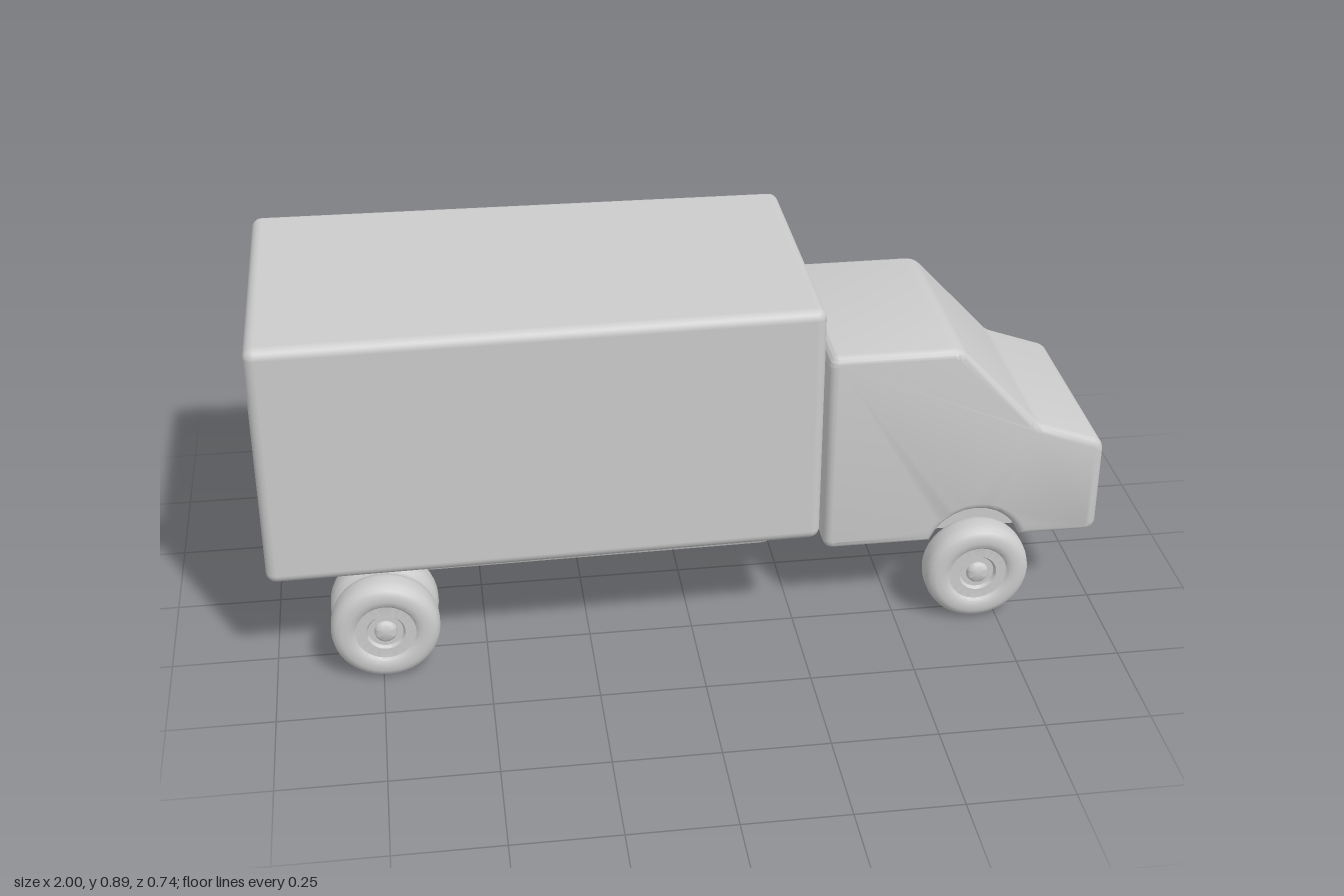
import * as THREE from 'three';
import { RoundedBoxGeometry } from 'three/addons/geometries/RoundedBoxGeometry.js';
import { toCreasedNormals } from 'three/addons/utils/BufferGeometryUtils.js';

const grey = new THREE.MeshStandardMaterial({ color: 0xcccccc });

function part(name, geometry, parent) {
  const mesh = new THREE.Mesh(geometry, grey);
  mesh.name = name;
  parent.add(mesh);
  return mesh;
}

// Extrudes a side profile across z to a full half-width, with softened edges
function extrudeSide(shape, halfWidth, bevel, segments) {
  const depth = 2 * (halfWidth - bevel);
  const geometry = new THREE.ExtrudeGeometry(shape, {
    depth, bevelSize: bevel, bevelThickness: bevel, bevelSegments: segments, curveSegments: 10,
  });
  geometry.translate(0, 0, -depth / 2);
  return toCreasedNormals(geometry, 0.6);
}

// Polyline whose corners [x, y, radius] are rounded by curves
function roundedPath(shape, points) {
  points.forEach(([x, y, r], i) => {
    const prev = points[i - 1], next = points[i + 1];
    if (!prev) { shape.moveTo(x, y); return; }
    if (!next || !r) { shape.lineTo(x, y); return; }
    const p = new THREE.Vector2(x, y);
    const a = new THREE.Vector2(prev[0], prev[1]).sub(p).setLength(r).add(p);
    const b = new THREE.Vector2(next[0], next[1]).sub(p).setLength(r).add(p);
    shape.lineTo(a.x, a.y);
    shape.quadraticCurveTo(x, y, b.x, b.y);
  });
  return shape;
}

// Cargo box, slightly narrower toward the cab
function cargoGeometry() {
  const geometry = new RoundedBoxGeometry(1.295, 0.605, 0.725, 4, 0.025);
  const pos = geometry.attributes.position;
  for (let i = 0; i < pos.count; i++) {
    const t = (pos.getX(i) + 0.6475) / 1.295;
    pos.setZ(i, pos.getZ(i) * (1 - 0.065 * t));
  }
  geometry.translate(-0.3525, 0.586, 0);
  return geometry;
}

// Cab profile with wheel arch, drawn inside the bevel
function cabGeometry() {
  const shape = new THREE.Shape();
  const cx = 0.697, cy = 0.165, r = 0.136, y = 0.22;
  const a = Math.asin((y - cy) / r), dx = r * Math.cos(a);
  roundedPath(shape, [
    [cx + dx, y], [0.98, y, 0.008], [0.98, 0.436, 0.012], [0.823, 0.492, 0.02],
    [0.624, 0.705, 0.015], [0.34, 0.705, 0.008], [0.34, y, 0.008], [cx - dx, y],
  ]);
  shape.absarc(cx, cy, r, Math.PI - a, a, true);
  return extrudeSide(shape, 0.26, 0.02, 4);
}

// Underbody profile, curling up at both ends
function underbodyGeometry() {
  const shape = roundedPath(new THREE.Shape(), [
    [-0.6, 0.187], [0.215, 0.195, 0.04], [0.24, 0.29], [-0.938, 0.29],
    [-0.935, 0.187, 0.04], [-0.6, 0.187],
  ]);
  return extrudeSide(shape, 0.178, 0.022, 2);
}

// Wheel: one revolved section with tyre, recessed rim and hub cap
function wheelGeometry() {
  const half = [
    [0, 0.038], [0.02, 0.038], [0.025, 0.034], [0.027, 0.026], [0.041, 0.026],
    [0.046, 0.034], [0.071, 0.034], [0.077, 0.040], [0.09, 0.0425], [0.105, 0.042],
    [0.117, 0.037], [0.125, 0.027], [0.128, 0.013],
  ];
  const points = [
    ...half.map(([r, h]) => new THREE.Vector2(r, -h)),
    ...half.slice().reverse().map(([r, h]) => new THREE.Vector2(r, h)),
  ];
  const geometry = new THREE.LatheGeometry(points, 40);
  geometry.rotateX(Math.PI / 2);
  return toCreasedNormals(geometry, 0.7);
}

export function createModel() {
  const truck = new THREE.Group();
  truck.name = 'boxTruck';

  part('cargoBox', cargoGeometry(), truck);
  part('cab', cabGeometry(), truck);
  part('underbody', underbodyGeometry(), truck);

  // Closes the wheel arches off behind the front wheels
  const core = part('cabFloor', new THREE.BoxGeometry(0.44, 0.16, 0.4), truck);
  core.position.set(0.697, 0.281, 0);

  // Single front wheels and paired rear wheels
  const wheel = wheelGeometry();
  const layout = [
    ['frontWheel', 0.697, 0.27],
    ['rearOuterWheel', -0.738, 0.327],
    ['rearInnerWheel', -0.738, 0.232],
  ];
  for (const [name, x, z] of layout) {
    for (const side of [1, -1]) {
      part(name, wheel, truck).position.set(x, 0.13, side * z);
    }
  }
  return truck;
}
